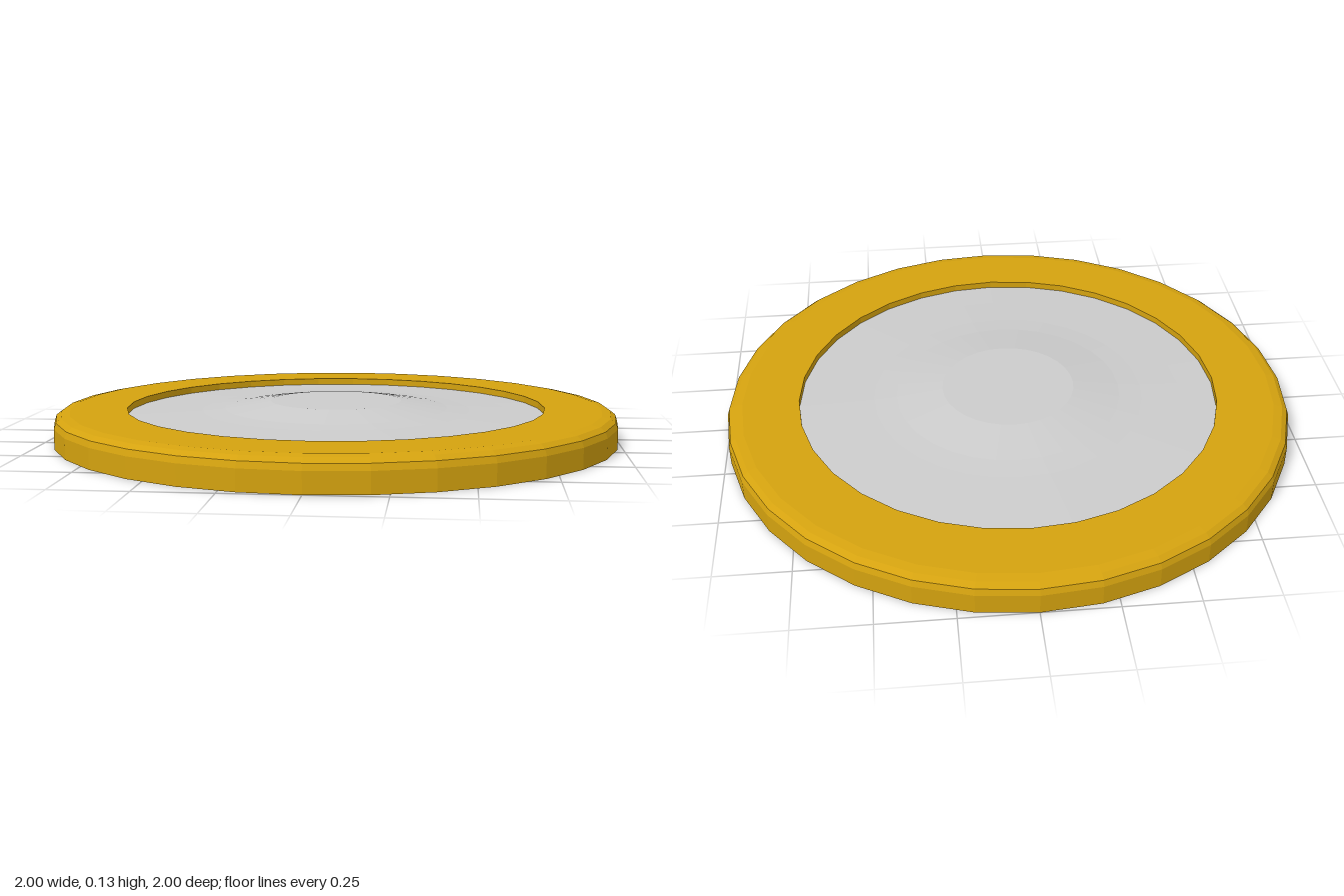
import * as THREE from 'three';

const SIDES = 32;

// Revolves [radius, height] pairs into a faceted part
function turned(name, profile, color) {
  const points = profile.map(([r, y]) => new THREE.Vector2(r, y));
  const material = new THREE.MeshStandardMaterial({ color, flatShading: true });
  const mesh = new THREE.Mesh(new THREE.LatheGeometry(points, SIDES), material);
  mesh.name = name;
  return mesh;
}

export function createModel() {
  const group = new THREE.Group();
  group.name = 'roundPlate';

  // Flat-bottomed rim with a rounded shoulder and a shallow recess wall
  group.add(turned('rim', [
    [0, 0], [1, 0], [1, 0.07], [0.993, 0.091], [0.975, 0.105],
    [0.945, 0.111], [0.745, 0.111], [0.745, 0.087],
  ], 0xd4a20f));

  // Inset disc rising in gentle steps to a flat centre
  group.add(turned('insetDisc', [
    [0.745, 0.087], [0.62, 0.092], [0.48, 0.098], [0.4, 0.105],
    [0.235, 0.129], [0, 0.129],
  ], 0xcccccc));

  return group;
}
